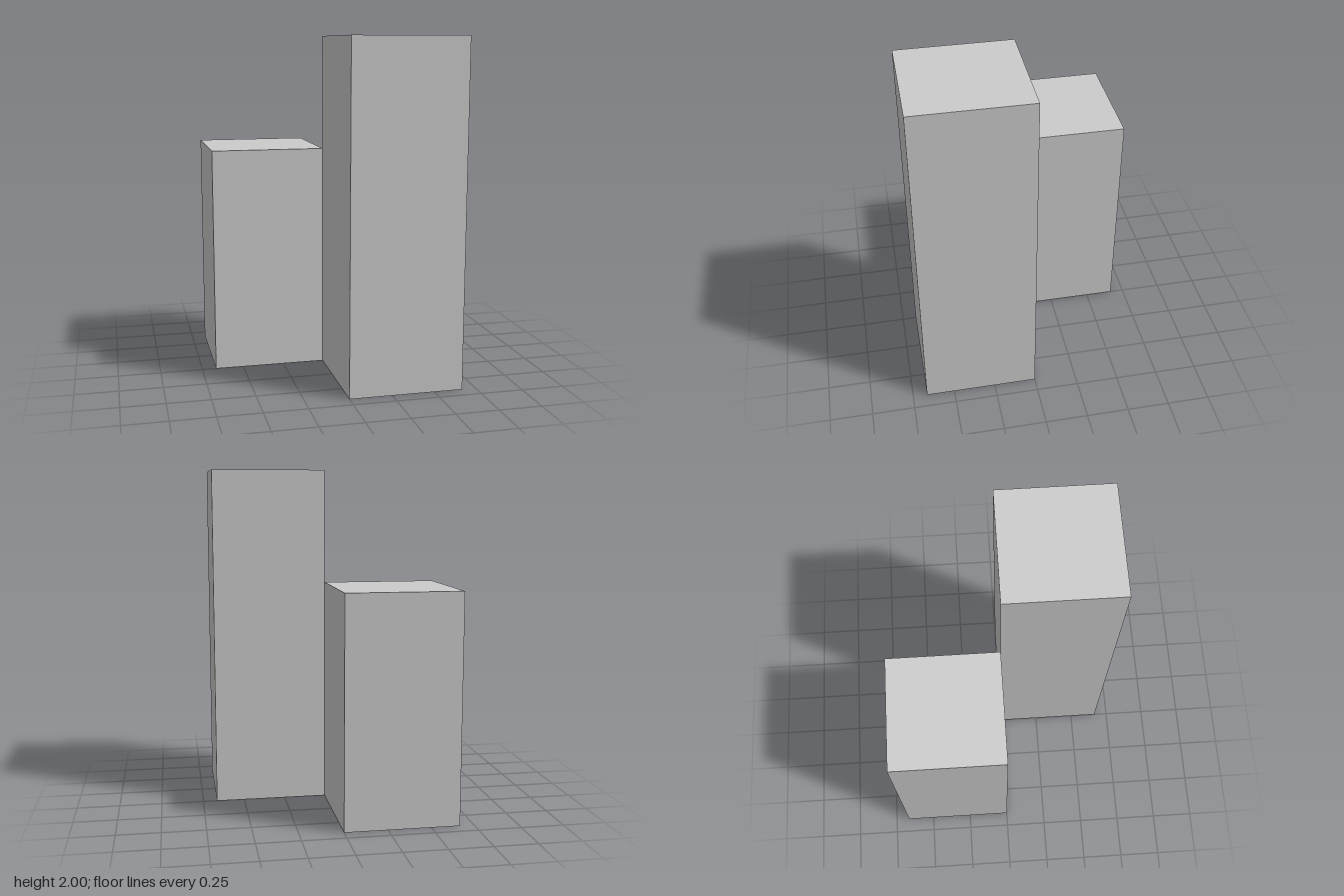
import * as THREE from 'three';

const SIDE = 2 / 3; // square footprint shared by both blocks

export function createModel() {
  const model = new THREE.Group();
  model.name = 'twoBlocks';
  const material = new THREE.MeshStandardMaterial({ color: 0xcccccc, flatShading: true });

  // Upright square block standing on the ground, its corner at the origin
  const addBlock = (name, height, direction) => {
    const block = new THREE.Mesh(new THREE.BoxGeometry(SIDE, height, SIDE), material);
    block.name = name;
    block.position.set(direction * SIDE / 2, height / 2, direction * SIDE / 2);
    model.add(block);
  };

  // The blocks sit diagonally and meet along one vertical edge
  addBlock('tallBlock', 3 * SIDE, 1);
  addBlock('shortBlock', 2 * SIDE, -1);

  return model;
}
